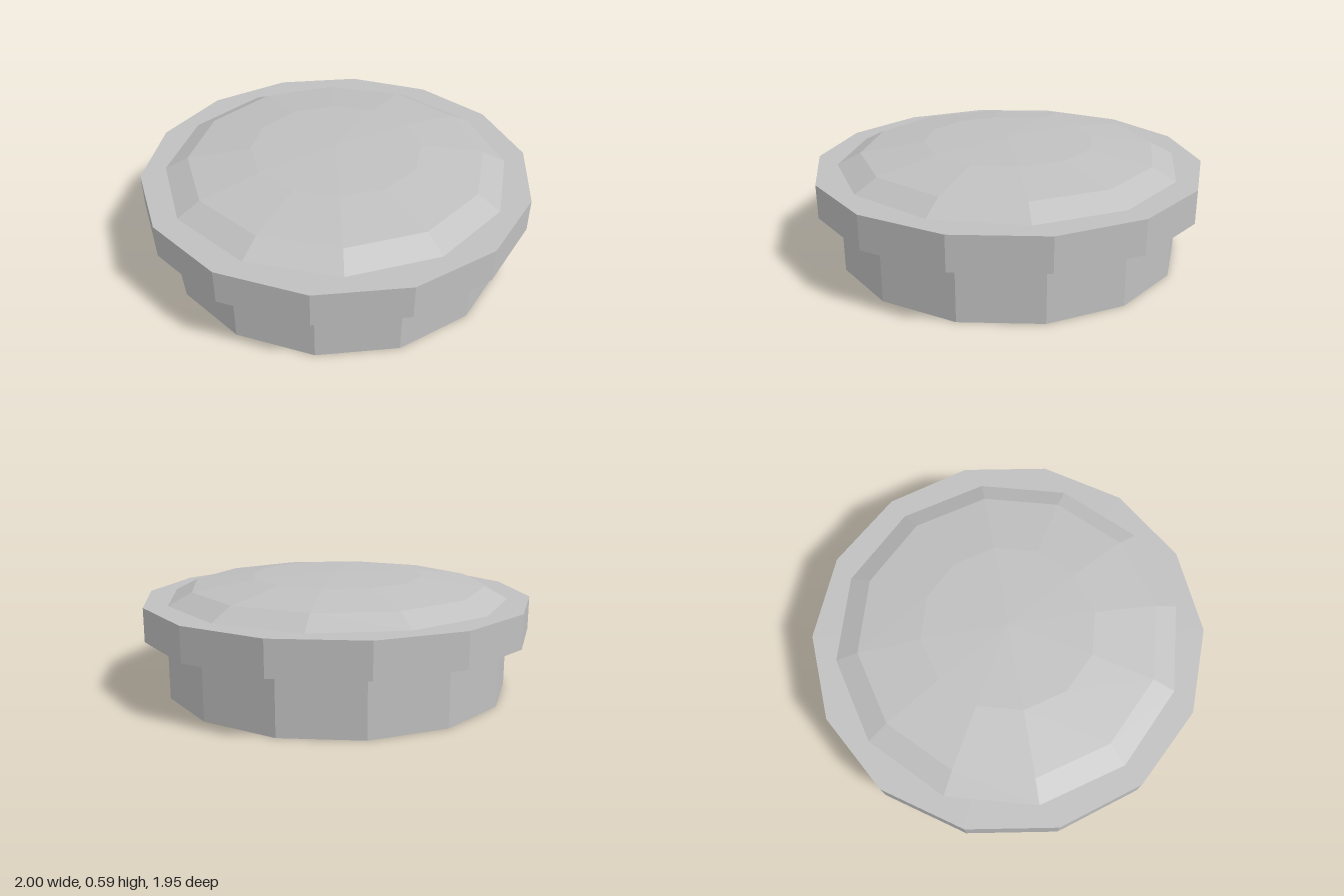
import * as THREE from 'three';

export function createModel() {
  const group = new THREE.Group();
  const grey = new THREE.MeshStandardMaterial({ color: 0xc0c0c0 });
  grey.name = 'light grey';

  const add = (name, geometry) => {
    // split the shared corners so every facet is flat
    const flat = geometry.index ? geometry.toNonIndexed() : geometry;
    flat.computeVertexNormals();
    const mesh = new THREE.Mesh(flat, grey);
    mesh.name = name;
    group.add(mesh);
  };

  // 14-sided drum with a corner on the x axis
  const drum = (radius, bottom, top) =>
    new THREE.CylinderGeometry(radius, radius, top - bottom, 14)
      .rotateY(Math.PI / 2)
      .translate(0, (bottom + top) / 2, 0);

  add('base', drum(0.89, 0, 0.3));
  add('rim', drum(1, 0.3, 0.47));

  // shallow 12-sided cap on top of the rim
  const profile = [[0.88, 0.47], [0.762, 0.53], [0.44, 0.575], [0, 0.59]]
    .map(([r, y]) => new THREE.Vector2(r, y));
  add('dome', new THREE.LatheGeometry(profile, 12));

  return group;
}
